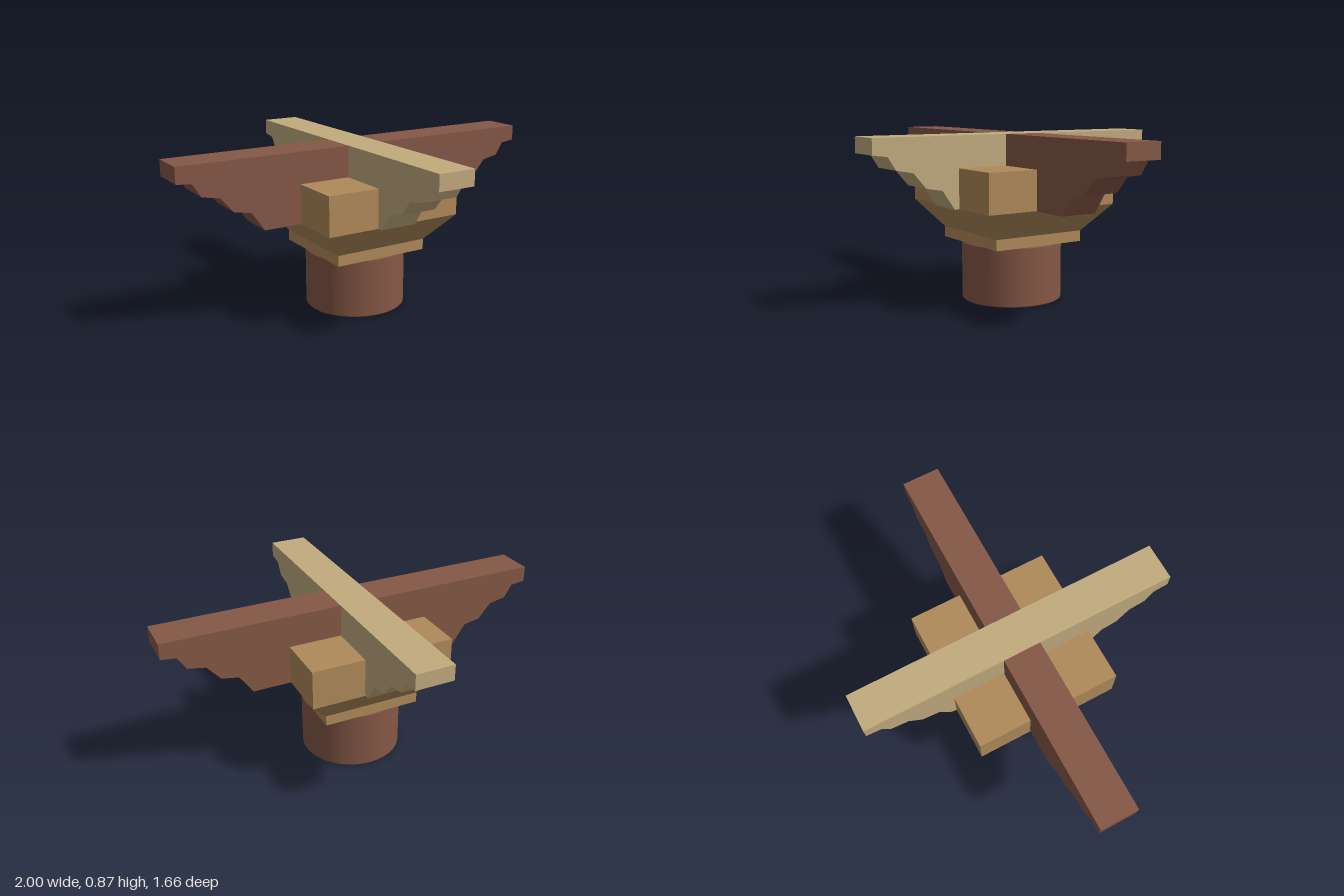
import * as THREE from 'three';

export function createModel() {
  const model = new THREE.Group();
  const brown = new THREE.MeshStandardMaterial({ name: 'red brown wood', color: 0x855846 });
  const ochre = new THREE.MeshStandardMaterial({ name: 'ochre wood', color: 0xb08a5a });
  const pale = new THREE.MeshStandardMaterial({ name: 'pale wood', color: 0xc2ab7e });
  ochre.flatShading = true;

  const add = (name, geometry, material) => {
    const mesh = new THREE.Mesh(geometry, material);
    mesh.name = name;
    model.add(mesh);
    return mesh;
  };

  // Round column top with finely bevelled rims
  const r = 0.262, h = 0.31, b = 0.006;
  const wall = [[r - b, 0], [r, b], [r, h - b], [r - b, h]];
  const edge = (pts) => new THREE.LatheGeometry(pts.map(p => new THREE.Vector2(...p)), 48);
  const column = new THREE.Group();
  column.name = 'column';
  [[[0, 0], wall[0]], [wall[0], wall[1]], [wall[1], wall[2]], [wall[2], wall[3]], [wall[3], [0, h]]]
    .forEach(pts => column.add(new THREE.Mesh(edge(pts), brown)));
  model.add(column);

  // Bearing block: square foot and flared neck
  const squareFrustum = (bottom, top, y0, y1) =>
    new THREE.CylinderGeometry(top * Math.SQRT2, bottom * Math.SQRT2, y1 - y0, 4)
      .rotateY(Math.PI / 4).translate(0, (y0 + y1) / 2, 0);
  add('blockFoot', squareFrustum(0.258, 0.258, 0.31, 0.366), ochre);
  add('blockFlare', squareFrustum(0.258, 0.376, 0.366, 0.51), ochre);

  // Four block corners, separated by the slots for the arms
  const inner = 0.103, outer = 0.376, size = outer - inner;
  for (const sx of [-1, 1]) for (const sz of [-1, 1]) {
    add('blockCorner', new THREE.BoxGeometry(size, 0.2, size), ochre)
      .position.set(sx * (inner + outer) / 2, 0.61, sz * (inner + outer) / 2);
  }

  // Stepped underside of a bracket arm, measured back from its tip
  const steps = [[0, 0.87], [0, 0.79], [0.077, 0.78], [0.118, 0.715], [0.208, 0.698],
    [0.275, 0.62], [0.362, 0.605], [0.43, 0.507]];
  const arm = (start, tip) => {
    const points = [[start, 0.507], [start, 0.87], ...steps.map(([d, y]) => [tip - d, y])];
    const shape = new THREE.Shape(points.map(p => new THREE.Vector2(...p)));
    return new THREE.ExtrudeGeometry(shape, { depth: 0.196, bevelEnabled: false })
      .translate(0, 0, -0.098);
  };

  // Side arms butt against the continuous front-to-back arm
  for (const turn of [0, 2]) {
    add('sideArm', arm(0.098, 1), brown).rotation.y = turn * Math.PI / 2;
  }
  for (const turn of [1, 3]) {
    add('lengthArm', arm(0, 0.828), pale).rotation.y = turn * Math.PI / 2;
  }
  return model;
}
